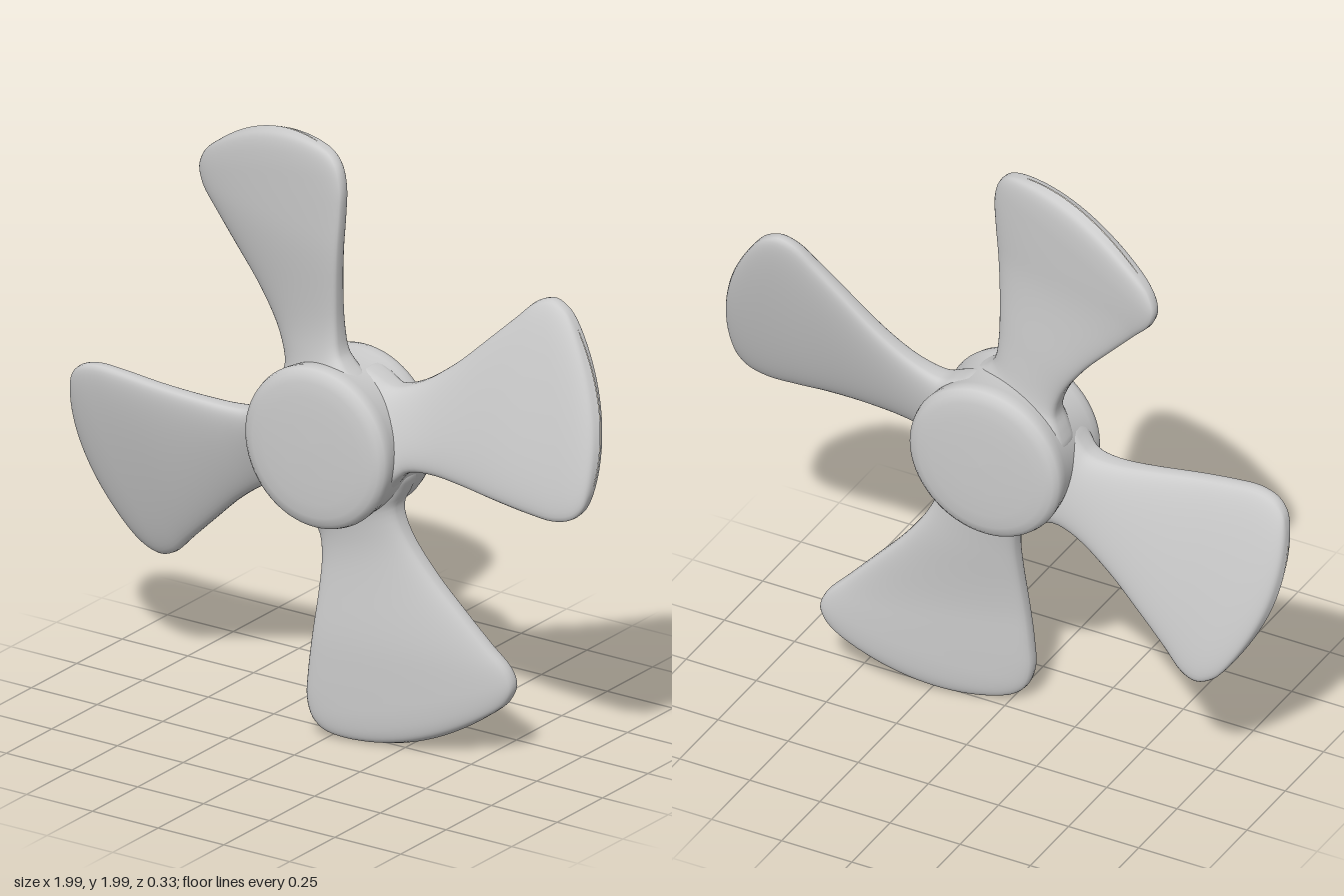
import * as THREE from 'three';

const material = new THREE.MeshStandardMaterial({ color: 0xcccccc });

// Lofted blade pointing along +x: each station joins the leading edge to the trailing edge.
function bladeGeometry() {
  // lead x, lead y, half thickness, trail x, trail y, outward bulge of the chord
  const stations = [
    [0.14, -0.12, 0.100, 0.04, 0.19, 0],
    [0.215, -0.13, 0.098, 0.085, 0.245, 0],
    [0.262, -0.075, 0.082, 0.14, 0.232, 0],
    [0.30, -0.042, 0.067, 0.20, 0.21, 0],
    [0.38, -0.03, 0.056, 0.29, 0.238, 0],
    [0.50, -0.035, 0.052, 0.41, 0.32, 0],
    [0.65, -0.05, 0.051, 0.53, 0.43, 0.01],
    [0.78, -0.064, 0.051, 0.62, 0.515, 0.02],
    [0.87, -0.068, 0.050, 0.69, 0.58, 0.03],
    [0.935, -0.05, 0.048, 0.745, 0.597, 0.038],
    [0.97, -0.015, 0.042, 0.80, 0.575, 0.045],
    [0.985, 0.03, 0.029, 0.835, 0.54, 0.05],
    [0.99, 0.06, 0.001, 0.85, 0.52, 0.052],
  ];
  const lead = new THREE.CatmullRomCurve3(stations.map(s => new THREE.Vector3(s[0], s[1], s[2])));
  const trail = new THREE.CatmullRomCurve3(stations.map(s => new THREE.Vector3(s[3], s[4], s[5])));
  const rows = 48, ring = 56, positions = [], index = [];
  for (let i = 0; i <= rows; i++) {
    const a = lead.getPoint(i / rows), b = trail.getPoint(i / rows);
    for (let j = 0; j < ring; j++) {
      const angle = (j / ring) * Math.PI * 2;
      const c = Math.cos(angle), s = Math.sin(angle);
      const t = (1 - c) / 2;
      const x = a.x + (b.x - a.x) * t + b.z * (1 - c * c);
      const y = a.y + (b.y - a.y) * t;
      // pitched mid-surface, set slightly back near the root
      const mid = 0.068 - 0.26 * (y + 0.06) - 0.028 * (1 - THREE.MathUtils.smoothstep(x, 0.3, 0.7));
      // blunt, rounded edges
      positions.push(x, y, mid + Math.max(a.z, 0) * Math.sign(s) * Math.pow(Math.abs(s), 0.55));
    }
  }
  for (let i = 0; i < rows; i++) {
    for (let j = 0; j < ring; j++) {
      const k = (j + 1) % ring;
      const p = i * ring + j, q = i * ring + k;
      index.push(p, p + ring, q, q, p + ring, q + ring);
    }
  }
  const geometry = new THREE.BufferGeometry();
  geometry.setAttribute('position', new THREE.Float32BufferAttribute(positions, 3));
  geometry.setIndex(index);
  geometry.computeVertexNormals();
  return geometry;
}

// Drum with tight rounded rims, domed faces and a slight waist, turned to face +z.
function hubGeometry() {
  const half = [
    [0, 0.165], [0.10, 0.164], [0.18, 0.161], [0.225, 0.156], [0.25, 0.149],
    [0.265, 0.136], [0.27, 0.118], [0.268, 0.095], [0.263, 0.06], [0.262, 0.02],
  ];
  const front = half.map(([r, z]) => new THREE.Vector2(r, z));
  const back = half.map(([r, z]) => new THREE.Vector2(r, -z));
  return new THREE.LatheGeometry([...back, ...front.reverse()], 64).rotateX(Math.PI / 2);
}

export function createModel() {
  const propeller = new THREE.Group();
  propeller.name = 'propeller';

  const hub = new THREE.Mesh(hubGeometry(), material);
  hub.name = 'hub';
  hub.position.y = 1;
  propeller.add(hub);

  // Four identical blades around the hub
  const geometry = bladeGeometry();
  for (let i = 0; i < 4; i++) {
    const blade = new THREE.Mesh(geometry, material);
    blade.name = `blade${i + 1}`;
    blade.position.y = 1;
    blade.rotation.z = (i * Math.PI) / 2;
    propeller.add(blade);
  }
  return propeller;
}
